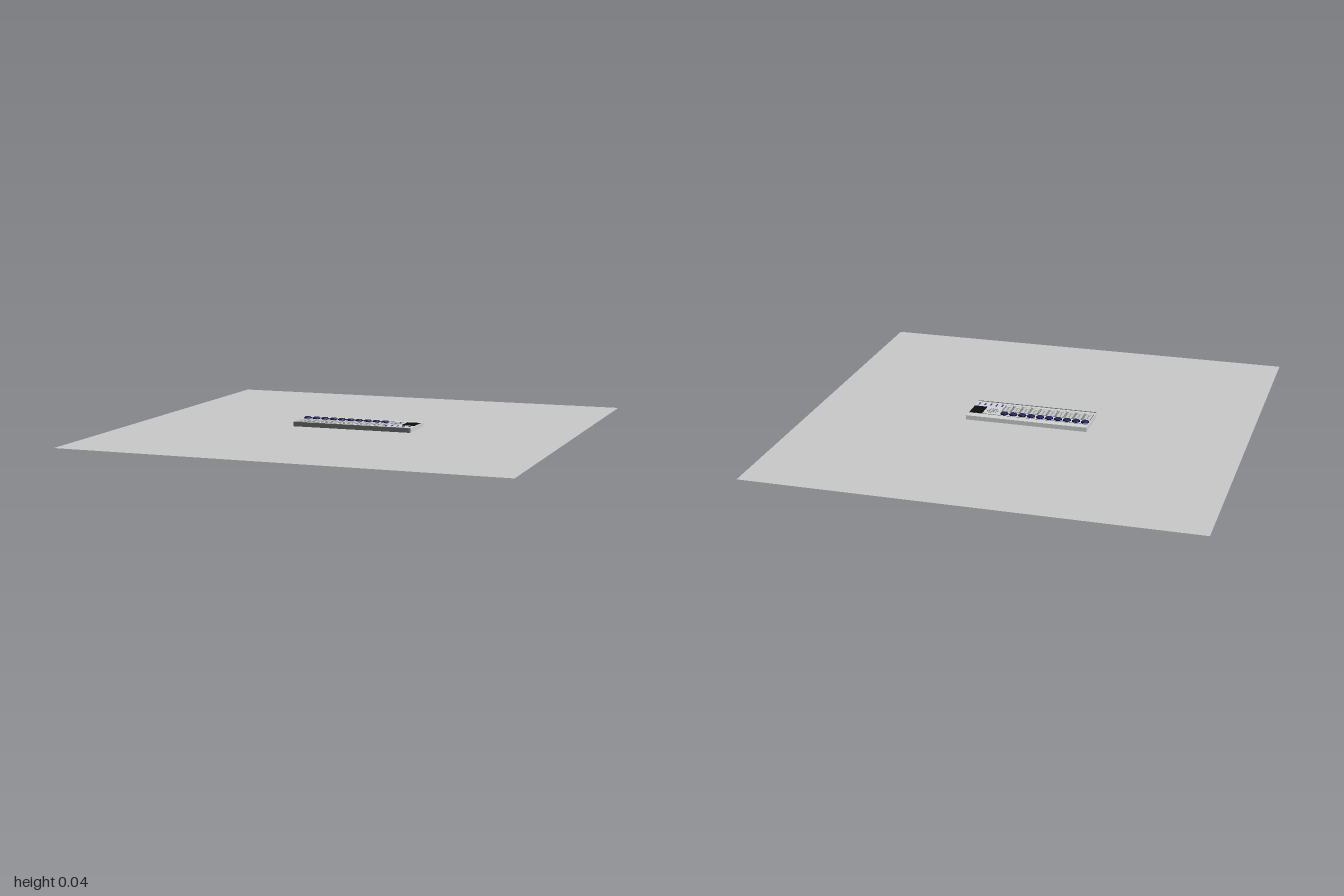
import * as THREE from 'three';

const mat = (name, color) => Object.assign(new THREE.MeshStandardMaterial({ color }), { name });

export function createModel() {
  const root = new THREE.Group();
  const floorGrey = mat('floor grey', 0xc8c8c8);
  floorGrey.side = THREE.DoubleSide;
  const shell = mat('shell light grey', 0xd0d2d2);
  const plate = mat('plate grey', 0xc2c4c4);
  const trim = mat('trim dark grey', 0x606262);
  const slotGrey = mat('slot grey', 0x8a8c8c);
  const navy = mat('knob navy', 0x20206e);
  const blue = mat('button blue', 0x3434a8);
  const black = mat('black', 0x0c0c0c);

  const add = (name, geometry, material, x = 0, y = 0, z = 0) => {
    const m = new THREE.Mesh(geometry, material);
    m.name = name;
    m.position.set(x, y, z);
    root.add(m);
    return m;
  };
  const box = (name, material, x0, x1, y0, y1, z0, z1) =>
    add(name, new THREE.BoxGeometry(x1 - x0, y1 - y0, z1 - z0), material,
      (x0 + x1) / 2, (y0 + y1) / 2, (z0 + z1) / 2);
  // Upright slab whose two front corners are rounded
  const slab = (name, material, w, y0, y1, z0, z1, r, x = 0) => {
    const h = w / 2;
    const s = new THREE.Shape();
    s.moveTo(-h, -z0);
    s.lineTo(-h, -z1 + r);
    s.absarc(-h + r, -z1 + r, r, Math.PI, Math.PI * 1.5, false);
    s.lineTo(h - r, -z1);
    s.absarc(h - r, -z1 + r, r, Math.PI * 1.5, Math.PI * 2, false);
    s.lineTo(h, -z0);
    const g = new THREE.ExtrudeGeometry(s, { depth: y1 - y0, bevelEnabled: false, curveSegments: 8 });
    g.rotateX(-Math.PI / 2);
    return add(name, g, material, x, y0, 0);
  };

  // Wide ground sheet
  const sheet = new THREE.PlaneGeometry(2, 2);
  sheet.rotateX(-Math.PI / 2);
  add('groundSheet', sheet, floorGrey, 0, 0.008, 0);

  // Console body, dark front bumper and the line behind the controls
  box('body', shell, -0.283, 0.283, 0.0085, 0.029, -0.096, 0.092);
  slab('frontBumper', trim, 0.566, 0.0085, 0.029, 0.092, 0.101, 0.009);
  box('rearLine', trim, -0.283, 0.283, 0.029, 0.0294, -0.058, -0.054);

  // Ten mixer channels: knob, rounded plate and fader
  for (let i = 0; i < 10; i++) {
    const x = -0.26 + i * 0.0422;
    add('knobRing', new THREE.CylinderGeometry(0.019, 0.019, 0.002, 24), black, x, 0.03, -0.032);
    add('knob', new THREE.CylinderGeometry(0.0135, 0.015, 0.005, 24), navy, x, 0.0335, -0.032);
    slab('channelRim', trim, 0.036, 0.029, 0.0296, -0.008, 0.078, 0.016, x);
    slab('channelPlate', plate, 0.032, 0.029, 0.0305, -0.006, 0.076, 0.014, x);
    box('faderSlot', slotGrey, x - 0.002, x + 0.002, 0.0305, 0.0308, 0.004, 0.06);
    box('faderCap', shell, x - 0.008, x + 0.008, 0.0305, 0.033, 0.045, 0.055);
    box('channelGap', slotGrey, x + 0.0185, x + 0.0235, 0.029, 0.0295, -0.008, 0.07);
  }

  // Round speaker with rings of holes
  add('speakerPlate', new THREE.CylinderGeometry(0.028, 0.028, 0.0012, 32), plate, 0.181, 0.0296, -0.012);
  for (let ring = 0; ring < 4; ring++) {
    const count = ring === 0 ? 1 : ring * 6;
    for (let k = 0; k < count; k++) {
      const a = (k / count) * Math.PI * 2;
      const r = ring * 0.0078;
      add('speakerHole', new THREE.CylinderGeometry(0.0021, 0.0021, 0.0005, 8), trim,
        0.181 + r * Math.cos(a), 0.0304, -0.012 + r * Math.sin(a));
    }
  }

  // Display and the row of small blue buttons
  box('display', black, 0.22, 0.28, 0.029, 0.031, -0.055, 0.028);
  for (let i = 0; i < 5; i++) {
    const x = 0.156 + i * 0.0275;
    box('button', blue, x - 0.003, x + 0.003, 0.029, 0.031, 0.048, 0.071);
  }

  // Parts reaching below the sheet
  box('displayUnderside', black, 0.23, 0.27, 0.007, 0.009, -0.028, 0.012);
  add('foot', new THREE.CylinderGeometry(0.017, 0.017, 0.009, 20), trim, 0.19, 0.0045, 0.06);

  return root;
}
